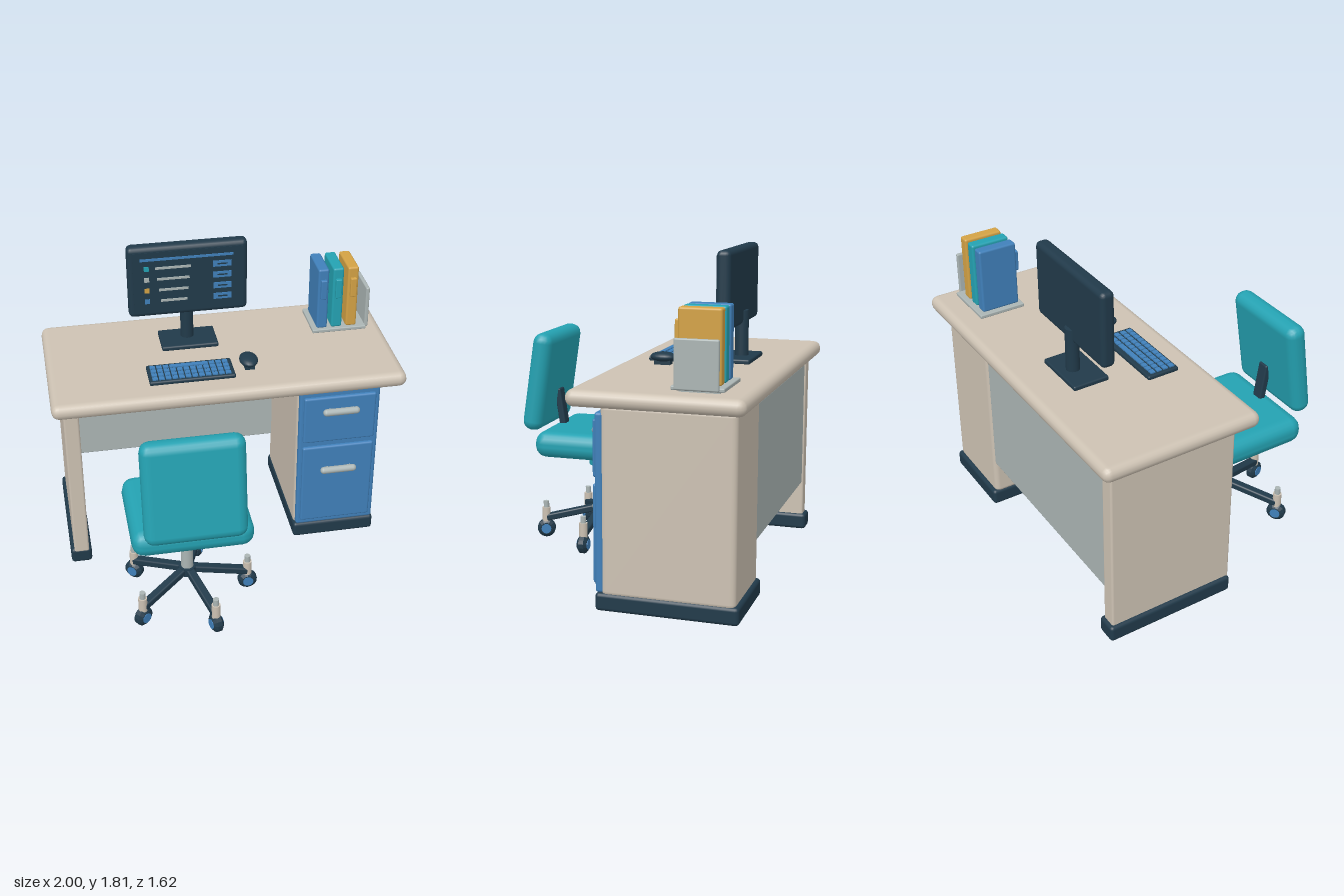
import * as THREE from 'three';
import { RoundedBoxGeometry } from 'three/addons/geometries/RoundedBoxGeometry.js';

const paint = (name, color) => {
  const m = new THREE.MeshStandardMaterial({ color });
  m.name = name;
  return m;
};

export function createModel() {
  const beige = paint('beige', 0xcdc2b3);
  const navy = paint('navy', 0x213a4a);
  const blue = paint('blue', 0x4080ba);
  const teal = paint('teal', 0x24a2b2);
  const gold = paint('gold', 0xd3a245);
  const grey = paint('grey', 0xabb5b4);

  const model = new THREE.Group();
  model.name = 'officeDesk';

  const group = (name, parent = model) => {
    const g = new THREE.Group();
    g.name = name;
    parent.add(g);
    return g;
  };
  const add = (parent, name, geometry, material, x = 0, y = 0, z = 0) => {
    const mesh = new THREE.Mesh(geometry, material);
    mesh.name = name;
    mesh.position.set(x, y, z);
    parent.add(mesh);
    return mesh;
  };
  // Box given by its limits; r rounds the edges
  const block = (parent, name, material, [x0, x1], [y0, y1], [z0, z1], r = 0) => {
    const s = [x1 - x0, y1 - y0, z1 - z0];
    const geometry = r ? new RoundedBoxGeometry(...s, 2, r) : new THREE.BoxGeometry(...s);
    return add(parent, name, geometry, material, (x0 + x1) / 2, (y0 + y1) / 2, (z0 + z1) / 2);
  };
  const rod = (parent, name, material, r, y0, y1, x, z, sides = 20) =>
    add(parent, name, new THREE.CylinderGeometry(r, r, y1 - y0, sides), material, x, (y0 + y1) / 2, z);

  // Desk
  const desk = group('desk');
  block(desk, 'desktop', beige, [-1, 1], [1.09, 1.18], [-0.81, 0.12], 0.044);
  block(desk, 'sideLeg', beige, [-0.937, -0.85], [0.08, 1.095], [-0.745, 0], 0.012);
  block(desk, 'legFoot', navy, [-0.957, -0.835], [0.003, 0.1], [-0.765, 0], 0.02);
  block(desk, 'backPanel', grey, [-0.86, 0.41], [0.3, 1.05], [-0.735, -0.7], 0.008);

  // Drawer cabinet
  const cabinet = group('cabinet', desk);
  block(cabinet, 'cabinetBody', beige, [0.4, 0.885], [0.08, 1.095], [-0.745, -0.03], 0.03);
  block(cabinet, 'cabinetBase', navy, [0.395, 0.892], [0.003, 0.1], [-0.765, 0], 0.02);
  block(cabinet, 'cabinetFront', blue, [0.408, 0.882], [0.1, 1.05], [-0.045, 0], 0.015);
  for (const [y0, y1, grip] of [[0.705, 1.01, 0.925], [0.14, 0.67, 0.518]]) {
    block(cabinet, 'drawer', blue, [0.43, 0.855], [y0, y1], [-0.01, 0.02], 0.012);
    const handle = add(cabinet, 'handle', new THREE.CapsuleGeometry(0.021, 0.175, 5, 12), grey, 0.643, grip, 0.045);
    handle.rotation.z = Math.PI / 2;
    for (const x of [0.575, 0.71])
      block(cabinet, 'handlePost', grey, [x - 0.01, x + 0.01], [grip - 0.01, grip + 0.01], [0.01, 0.045]);
  }

  // Monitor
  const monitor = group('monitor');
  block(monitor, 'monitorCase', navy, [-0.5, 0.185], [1.38, 1.815], [-0.52, -0.44], 0.028);
  block(monitor, 'screen', navy, [-0.47, 0.155], [1.415, 1.785], [-0.445, -0.437]);
  rod(monitor, 'neck', navy, 0.038, 1.19, 1.46, -0.162, -0.505);
  block(monitor, 'stand', navy, [-0.325, 0.005], [1.176, 1.205], [-0.59, -0.38], 0.01);
  const plate = (name, material, x, y, z = [-0.438, -0.432]) => block(monitor, name, material, x, y, z);
  plate('titleLine', blue, [-0.43, 0.1], [1.735, 1.749]);
  [teal, grey, gold, blue].forEach((material, i) => {
    const y = 1.687 - i * 0.068;
    plate('icon', material, [-0.408, -0.38], [y - 0.014, y + 0.014]);
    plate('textLine', grey, [-0.345 + i * 0.009, -0.142 - i * 0.008], [y - 0.007, y + 0.007]);
    plate('button', blue, [-0.015, 0.09], [y - 0.018, y + 0.018]);
    plate('buttonMark', navy, [0.01, 0.065], [y - 0.004, y + 0.004], [-0.432, -0.43]);
  });

  // Keyboard
  const keyboard = group('keyboard');
  block(keyboard, 'keyboardCase', navy, [-0.445, 0.04], [1.176, 1.202], [-0.21, -0.02], 0.01);
  const key = (x0, x1, z) => block(keyboard, 'key', blue, [x0, x1], [1.2, 1.209], [z - 0.014, z + 0.014]);
  for (let row = 0; row < 4; row++) {
    const z = -0.17 + row * 0.04;
    for (let i = 0; i < 12; i++) {
      const x = -0.427 + i * 0.0375;
      if (row > 0 || i < 3 || i > 8) key(x, x + 0.03, z);
    }
    if (row === 0) key(-0.315, -0.097, z);
  }

  // Mouse
  const mouse = add(model, 'mouse', new THREE.SphereGeometry(1, 20, 12), navy, 0.132, 1.222, -0.135);
  mouse.scale.set(0.053, 0.028, 0.075);
  block(model, 'mouseFoot', navy, [0.105, 0.16], [1.176, 1.21], [-0.18, -0.09]);

  // Binders on a tray with a bookend
  const organiser = group('bookRack');
  block(organiser, 'tray', grey, [0.572, 0.895], [1.19, 1.212], [-0.68, -0.405], 0.006);
  block(organiser, 'trayFoot', grey, [0.6, 0.87], [1.176, 1.195], [-0.65, -0.44]);
  block(organiser, 'bookend', grey, [0.89, 0.913], [1.195, 1.45], [-0.655, -0.425], 0.008);
  [blue, teal, gold].forEach((material, i) => {
    const x = 0.631 + i * 0.088;
    block(organiser, 'binder', material, [x - 0.032, x + 0.032], [1.21, 1.593], [-0.65, -0.425], 0.012);
    block(organiser, 'spineLabel', material, [x - 0.018, x + 0.018], [1.41, 1.53], [-0.43, -0.405], 0.006);
  });

  // Chair
  const chair = group('chair');
  const cx = -0.32, cz = 0.387;
  block(chair, 'seat', teal, [-0.653, 0.013], [0.55, 0.707], [0.12, 0.71], 0.07);
  const back = block(chair, 'backrest', teal, [-0.595, -0.043], [0.695, 1.285], [0.65, 0.77], 0.056);
  back.rotation.x = -0.15;
  const support = block(chair, 'backSupport', navy, [cx - 0.035, cx + 0.035], [0.54, 0.92], [0.62, 0.66], 0.01);
  support.rotation.x = 0.15;
  rod(chair, 'seatMount', navy, 0.035, 0.53, 0.56, cx, cz);
  rod(chair, 'collar', teal, 0.083, 0.465, 0.545, cx, cz);
  rod(chair, 'column', grey, 0.035, 0.165, 0.48, cx, cz);
  rod(chair, 'hub', navy, 0.05, 0.165, 0.215, cx, cz);

  // Five arms with casters
  const tyreProfile = [[0, -0.03], [0.036, -0.03], [0.055, -0.015], [0.055, 0.015], [0.036, 0.03], [0, 0.03]]
    .map(([r, y]) => new THREE.Vector2(r, y));
  const tyre = new THREE.LatheGeometry(tyreProfile, 14).toNonIndexed();
  tyre.computeVertexNormals();
  for (let i = 0; i < 5; i++) {
    const leg = group('casterLeg', chair);
    leg.position.set(cx, 0, cz);
    leg.rotation.y = (i * Math.PI * 2) / 5;
    const arm = add(leg, 'arm', new RoundedBoxGeometry(0.36, 0.042, 0.05, 2, 0.01), navy, 0.175, 0.163, 0);
    arm.rotation.z = -0.21;
    rod(leg, 'casterStem', beige, 0.025, 0.08, 0.19, 0.35, 0, 14);
    rod(leg, 'stemCap', grey, 0.017, 0.185, 0.23, 0.35, 0, 14);
    const wheel = add(leg, 'wheel', tyre, navy, 0.35, 0.06, 0);
    wheel.rotation.x = Math.PI / 2;
    const disc = add(leg, 'wheelHub', new THREE.CylinderGeometry(0.03, 0.03, 0.068, 12), blue, 0.35, 0.06, 0);
    disc.rotation.x = Math.PI / 2;
  }
  return model;
}
